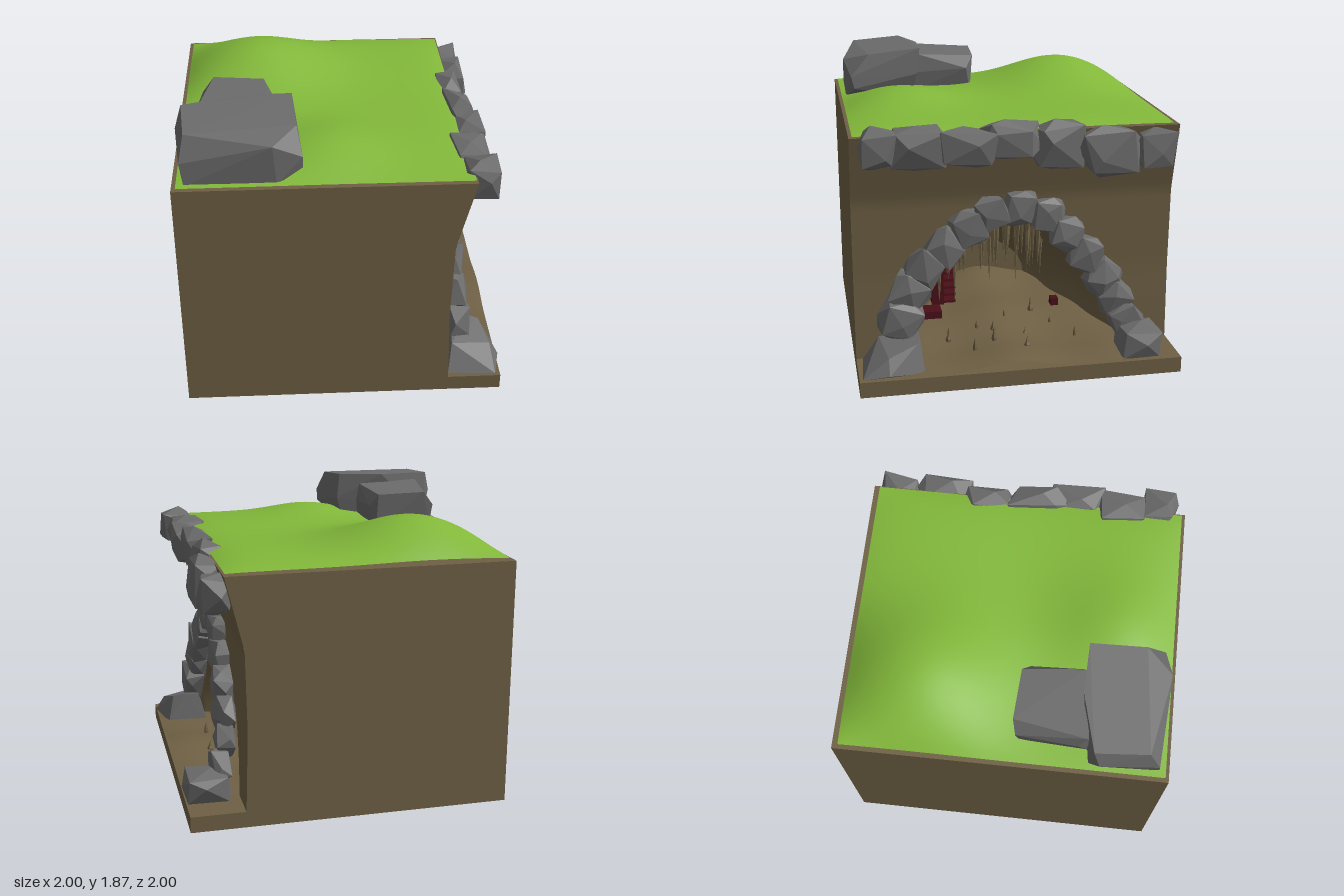
import * as THREE from 'three';
import { ConvexGeometry } from 'three/addons/geometries/ConvexGeometry.js';

const lerp = THREE.MathUtils.lerp;

// small seeded random
let seed = 7;
function rnd(a = 0, b = 1) {
  seed = (seed * 16807) % 2147483647;
  return a + (b - a) * (seed / 2147483647);
}

// surface from a rule f(u, v) -> [x, y, z]
function surface(f, nu, nv) {
  const pos = [], idx = [];
  for (let i = 0; i <= nu; i++) {
    for (let j = 0; j <= nv; j++) pos.push(...f(i / nu, j / nv));
  }
  for (let i = 0; i < nu; i++) {
    for (let j = 0; j < nv; j++) {
      const a = i * (nv + 1) + j, b = a + nv + 1;
      idx.push(a, b, b + 1, a, b + 1, a + 1);
    }
  }
  const g = new THREE.BufferGeometry();
  g.setAttribute('position', new THREE.Float32BufferAttribute(pos, 3));
  g.setIndex(idx);
  g.computeVertexNormals();
  return g;
}

// chipped boulder with half sizes hx, hy, hz
function rockGeometry(hx, hy, hz) {
  const pts = [];
  for (const x of [-1, 1]) for (const y of [-1, 1]) for (const z of [-1, 1]) {
    pts.push(new THREE.Vector3(x * hx * rnd(0.55, 0.9), y * hy * rnd(0.55, 0.9), z * hz * rnd(0.55, 0.9)));
  }
  for (const s of [-1, 1]) {
    pts.push(new THREE.Vector3(s * hx, hy * rnd(-0.4, 0.4), hz * rnd(-0.4, 0.4)));
    pts.push(new THREE.Vector3(hx * rnd(-0.4, 0.4), s * hy, hz * rnd(-0.4, 0.4)));
    pts.push(new THREE.Vector3(hx * rnd(-0.4, 0.4), hy * rnd(-0.4, 0.4), s * hz));
  }
  return new ConvexGeometry(pts);
}

// outline of the overhanging cliff: x at each height
const PROFILE = [[0.1, 0.645], [0.6, 0.63], [1.1, 0.64], [1.3, 0.69], [1.54, 0.75]];
function cliffX(y) {
  for (let i = 1; i < PROFILE.length; i++) {
    const [y0, x0] = PROFILE[i - 1], [y1, x1] = PROFILE[i];
    if (y <= y1) return lerp(x0, x1, Math.max(0, (y - y0) / (y1 - y0)));
  }
  return 0.75;
}

// cave section at t: 0 at the back, 1 at the mouth
const BACK = -0.5;
function section(t) {
  return { w: lerp(0.29, 0.75, t), h: lerp(0.28, 0.9, t), base: lerp(0.16, 0.1, t) };
}
function ceilingY(x, z) {
  const s = section((x - BACK) / 1.14);
  const c = Math.min(1, Math.pow(Math.abs(z) / s.w, 1 / 1.4));
  return s.base + s.h * Math.sqrt(1 - c * c);
}
function floorY(x, z) {
  const t = Math.min(1, (x - BACK) / 1.14);
  const s = section(t);
  const edge = 1 - Math.min(1, Math.abs(z) / s.w) ** 2;
  return s.base + edge * (0.025 + 0.02 * Math.sin(z * 8 + 1) + 0.015 * Math.sin(x * 9)) + 0.002;
}

export function createModel() {
  seed = 7;
  const model = new THREE.Group();
  const mat = (name, color, side) => {
    const m = new THREE.MeshStandardMaterial({ color });
    m.name = name;
    if (side) m.side = side;
    return m;
  };
  const dirt = mat('dirt', 0x6e6044, THREE.DoubleSide);
  const grass = mat('grass', 0x82b83a, THREE.DoubleSide);
  const stone = mat('stone', 0x6c6c6c);
  const redWood = mat('redWood', 0x4a0f18);
  const add = (name, geo, material, x = 0, y = 0, z = 0) => {
    const m = new THREE.Mesh(geo, material);
    m.name = name;
    m.position.set(x, y, z);
    model.add(m);
    return m;
  };

  // base slab
  add('baseSlab', new THREE.BoxGeometry(1.98, 0.1, 2), dirt, -0.01, 0.05, 0);

  // side walls follow the cliff outline
  const side = new THREE.Shape();
  side.moveTo(-1, 0.1);
  PROFILE.forEach(([y, x]) => side.lineTo(x, y));
  side.lineTo(-1, 1.54);
  add('sideWall', new THREE.ShapeGeometry(side), dirt, 0, 0, 1);
  const far = new THREE.ShapeGeometry(side).scale(1, 1, -1);
  far.setIndex([...far.index.array].reverse());
  far.computeVertexNormals();
  add('sideWall', far, dirt, 0, 0, -1);
  add('rearWall', new THREE.PlaneGeometry(2, 1.44).rotateY(-Math.PI / 2), dirt, -1, 0.82, 0);
  add('topRim', new THREE.PlaneGeometry(1.75, 2).rotateX(-Math.PI / 2), dirt, -0.125, 1.54, 0);

  // cliff wall around the cave mouth
  const mouthHalf = (y) => {
    const s = Math.min(1, (y - 0.1) / 0.9);
    return 0.75 * Math.pow(Math.max(0, 1 - s * s), 0.7);
  };
  const rowY = (u) => (u < 0.7 ? 0.1 + 0.9 * Math.sin((u / 0.7) * Math.PI / 2) : lerp(1, 1.54, (u - 0.7) / 0.3));
  for (const s of [1, -1]) {
    add('cliffWall', surface((u, v) => {
      const y = rowY(u), a = mouthHalf(y);
      return [cliffX(y), y, s > 0 ? lerp(a, 1, v) : lerp(-1, -a, v)];
    }, 40, 6), dirt);
  }

  // cave vault, end wall and floor
  add('caveVault', surface((u, v) => {
    const s = section(u), q = Math.PI * (1 - v), c = Math.cos(q);
    const k = 1 + 0.05 * Math.sin(u * Math.PI * 5) * (1 - u);
    const y = s.base + s.h * k * Math.sin(q);
    return [lerp(BACK, cliffX(y), u), y, s.w * k * Math.sign(c) * Math.pow(Math.abs(c), 1.4)];
  }, 24, 32), dirt);
  add('caveEnd', surface((u, v) => {
    const s = section(0), q = (Math.PI / 2) * u, c = Math.cos(q);
    return [BACK, s.base + s.h * Math.sin(q), lerp(-1, 1, v) * s.w * Math.pow(Math.abs(c), 1.4)];
  }, 12, 8), dirt);
  add('caveFloor', surface((u, v) => {
    const x = lerp(BACK, 0.975, v);
    const z = lerp(-1, 1, u) * section(Math.min(1, (x - BACK) / 1.14)).w;
    return [x, floorY(x, z), z];
  }, 28, 28), dirt);

  // rolling grass
  const hump = (x, z, cx, cz, r) => Math.exp(-((x - cx) ** 2 + (z - cz) ** 2) / (2 * r * r));
  add('grassTop', surface((u, v) => {
    const z = lerp(-0.965, 0.98, u), x = lerp(-0.975, 0.74, v);
    const edge = (1 - Math.abs(z / 0.985) ** 10) * (1 - Math.abs((x + 0.12) / 0.87) ** 10);
    const h = 0.19 * hump(x, z, -0.5, -0.52, 0.33) + 0.09 * hump(x, z, -0.1, 0.62, 0.25)
      + 0.025 * hump(x, z, 0.5, -0.5, 0.4) + 0.02 * hump(x, z, 0.45, 0.6, 0.3);
    return [x, 1.548 + Math.max(0, edge) * (0.01 + h), z];
  }, 48, 44), grass);

  // two boulders on the grass
  const hull = (pts) => new ConvexGeometry(pts.map((p) => new THREE.Vector3(...p)));
  add('largeBoulder', hull([
    [-0.93, 1.54, 0.94], [-0.4, 1.54, 0.95], [-0.34, 1.54, 0.52], [-0.93, 1.54, 0.52],
    [-0.99, 1.72, 0.58], [-0.95, 1.68, 0.93], [-0.25, 1.7, 0.92], [-0.25, 1.62, 0.9], [-0.29, 1.7, 0.48],
    [-0.95, 1.85, 0.54], [-0.92, 1.83, 0.86], [-0.42, 1.79, 0.96], [-0.28, 1.84, 0.8], [-0.3, 1.87, 0.46],
    [-0.6, 1.86, 0.45],
  ]), stone);
  add('smallBoulder', hull([
    [-0.83, 1.54, 0.1], [-0.46, 1.54, 0.1], [-0.45, 1.54, 0.52], [-0.85, 1.54, 0.52],
    [-0.85, 1.7, 0.08], [-0.42, 1.7, 0.13], [-0.43, 1.68, 0.5], [-0.88, 1.7, 0.45],
    [-0.78, 1.79, 0.06], [-0.47, 1.78, 0.08], [-0.44, 1.8, 0.45], [-0.86, 1.81, 0.5],
  ]), stone);

  // stones lining the cave mouth: [z, y, size, x]
  [[0.78, 0.38, 0.13, 0.73], [0.73, 0.38, 0.14, 0.72], [0.66, 0.55, 0.135, 0.7], [0.57, 0.69, 0.13, 0.69],
    [0.44, 0.82, 0.125, 0.68], [0.3, 0.93, 0.12, 0.67], [0.15, 1.01, 0.115, 0.67], [-0.03, 1.03, 0.12, 0.67],
    [-0.21, 0.99, 0.11, 0.67], [-0.33, 0.86, 0.12, 0.68], [-0.44, 0.72, 0.125, 0.69], [-0.55, 0.56, 0.125, 0.7],
    [-0.63, 0.42, 0.12, 0.71], [-0.7, 0.29, 0.11, 0.75]].forEach(([z, y, r, x], i) => {
    if (i === 0) return;
    const m = add('archStone', rockGeometry(r * 0.62, r * 0.95, r), stone, x, y, z);
    m.rotation.x = Math.atan2(y - 0.1, z) * -1 + rnd(-0.2, 0.2);
  });
  // large footing stones
  add('footStone', hull([
    [0.65, 0.1, 0.6], [0.65, 0.1, 0.96], [0.95, 0.1, 0.98], [0.99, 0.13, 0.82], [0.92, 0.1, 0.6],
    [0.68, 0.26, 0.86], [0.8, 0.3, 0.62], [0.88, 0.28, 0.64], [0.7, 0.29, 0.62], [0.93, 0.22, 0.82],
  ]), stone);
  add('footStone', rockGeometry(0.15, 0.11, 0.15), stone, 0.85, 0.19, -0.76);

  // stones along the cliff edge: [x, y, z, half sizes]
  [[0.79, 1.49, 0.84, 0.125, 0.13, 0.12], [0.75, 1.47, 0.6, 0.13, 0.13, 0.19], [0.79, 1.47, 0.32, 0.11, 0.12, 0.19],
    [0.76, 1.5, 0.06, 0.09, 0.12, 0.21], [0.74, 1.45, -0.25, 0.1, 0.16, 0.18], [0.78, 1.41, -0.55, 0.12, 0.17, 0.19],
    [0.78, 1.41, -0.84, 0.11, 0.12, 0.14]].forEach(([x, y, z, hx, hy, hz]) => {
    add('edgeStone', rockGeometry(hx, hy, hz), stone, x, y, z).rotation.x = rnd(-0.12, 0.12);
  });

  // hanging and standing spikes, chipped by a jitter
  const spike = (r, h, dir) => {
    const g = new THREE.ConeGeometry(r, h, 5, 4).toNonIndexed();
    g.translate(0, h / 2, 0);
    const p = g.attributes.position;
    for (let i = 0; i < p.count; i++) {
      const k = 1 + 0.3 * Math.sin(p.getY(i) * 90 + r * 900);
      p.setXYZ(i, p.getX(i) * k, p.getY(i), p.getZ(i) * k);
    }
    if (dir < 0) g.rotateX(Math.PI);
    g.computeVertexNormals();
    return g;
  };
  for (let i = 0; i < 30; i++) {
    const z = lerp(0.42, -0.26, i / 29), x = rnd(0.2, 0.58);
    const top = ceilingY(x, z) + 0.03;
    add('stalactite', spike(rnd(0.014, 0.028), rnd(0.15, 0.42), -1), dirt, x, top, z);
  }
  [[0.5, 0.4], [0.7, 0.26], [0.45, 0.1], [0.72, -0.07], [0.5, -0.1], [0.35, -0.3], [0.55, -0.42], [0.4, 0.2],
    [0.3, 0], [0.6, 0.12], [0.2, -0.2]].forEach(([x, z]) => {
    add('stalagmite', spike(rnd(0.012, 0.022), rnd(0.05, 0.12), 1), dirt, x, floorY(x, z) - 0.01, z);
  });

  // red bookcase and chests in the cave
  add('bookcaseSide', new THREE.BoxGeometry(0.1, 0.24, 0.08), redWood, 0.02, 0.3, 0.41);
  add('bookcaseBack', new THREE.BoxGeometry(0.02, 0.24, 0.09), redWood, -0.02, 0.3, 0.33);
  for (let i = 0; i < 5; i++) {
    add('bookcaseShelf', new THREE.BoxGeometry(0.09, 0.015, 0.08), redWood, 0.03, 0.2 + i * 0.052, 0.33);
  }
  add('chest', new THREE.BoxGeometry(0.12, 0.05, 0.13), redWood, 0.25, 0.21, 0.48);
  add('smallChest', new THREE.BoxGeometry(0.06, 0.05, 0.05), redWood, 0.2, 0.21, -0.36);

  return model;
}
